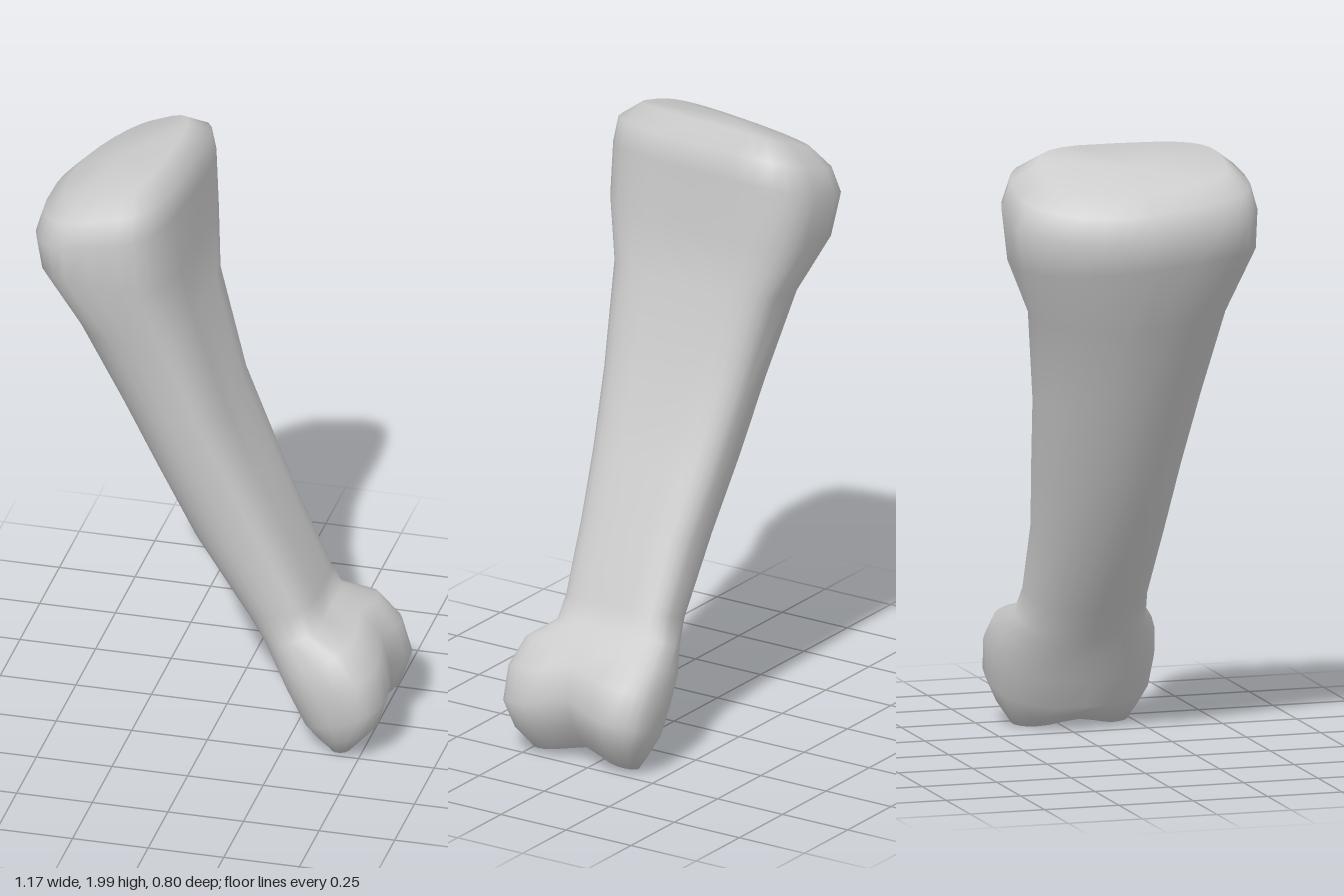
import * as THREE from 'three';
import { mergeVertices } from 'three/addons/utils/BufferGeometryUtils.js';

const SIDES = 28;

// Outline character: position of the widest point between the -x and +x edges,
// squareness of the +x side and of the -x side (front, back), and corner tilt
const END = { wide: 0.5, plus: 3.6, front: 3.2, back: 1.75, tilt: 1 };
const NECK = { wide: 0.55, plus: 3.4, front: 2.4, back: 1.9, tilt: 0.5 };
const SHAFT = { wide: 0.6, plus: 3.2, front: 2, back: 2, tilt: 0 };
const KNUCKLE = { wide: 0.63, plus: 3, front: 2.3, back: 2.3, tilt: 0 };

// Cross-sections from the wide top end to the knuckle:
// [ax, ay, bx, by, zBack, zFront, groove, style]; a = -x edge, b = +x edge
const SECTIONS = [
  [-0.36, 1.955, -0.36, 1.955, 0, 0, 0, END],
  [-0.50, 1.89, -0.18, 2.00, -0.29, 0.31, 0, END],
  [-0.56, 1.83, -0.115, 1.95, -0.37, 0.38, 0, END],
  [-0.585, 1.75, -0.105, 1.86, -0.40, 0.40, 0, END],
  [-0.565, 1.65, -0.09, 1.66, -0.375, 0.40, 0.01, END],
  [-0.46, 1.44, -0.06, 1.48, -0.29, 0.34, 0.02, NECK],
  [-0.34, 1.18, 0.04, 1.15, -0.24, 0.30, 0.01, SHAFT],
  [-0.215, 0.92, 0.14, 0.92, -0.21, 0.27, 0, SHAFT],
  [-0.09, 0.68, 0.23, 0.72, -0.18, 0.25, 0, SHAFT],
  [0.08, 0.42, 0.33, 0.50, -0.17, 0.235, 0, SHAFT],
  [0.14, 0.33, 0.36, 0.43, -0.185, 0.245, 0.01, SHAFT],
  [0.19, 0.25, 0.475, 0.40, -0.225, 0.30, 0.035, KNUCKLE],
  [0.23, 0.17, 0.555, 0.32, -0.235, 0.32, 0.045, KNUCKLE],
  [0.28, 0.075, 0.59, 0.21, -0.225, 0.315, 0.05, KNUCKLE],
  [0.32, 0.03, 0.56, 0.11, -0.19, 0.28, 0.05, KNUCKLE],
  [0.37, 0, 0.48, 0.02, -0.15, 0.24, 0.045, KNUCKLE],
  [0.42, 0.005, 0.42, 0.005, 0.045, 0.045, 0.04, KNUCKLE],
];

const power = (v, e) => Math.sign(v) * Math.abs(v) ** (2 / e);

function boneGeometry() {
  const pos = [], index = [];
  for (const [ax, ay, bx, by, z0, z1, groove, style] of SECTIONS) {
    const cx = THREE.MathUtils.lerp(ax, bx, style.wide);
    const cy = THREE.MathUtils.lerp(ay, by, style.wide);
    for (let j = 0; j < SIDES; j++) {
      const t = (j / SIDES) * Math.PI * 2;
      const c = Math.cos(t), s = Math.sin(t);
      const e = c > 0 ? style.plus : s > 0 ? style.front : style.back;
      const u = power(c, e);
      const z = (z0 + z1) / 2 + power(s, e) * (z1 - z0) / 2;
      const [ex, ey] = c > 0 ? [bx, by] : [ax, ay];
      // groove runs around the +x face and under the knuckle
      const reach = u > -0.3 || ay < 0.05 ? 1 : 0.2;
      const dent = groove * reach * Math.exp(-(((z - 0.045) / 0.09) ** 2));
      pos.push(
        cx + Math.abs(u) * (ex - cx) - dent * 0.8 - style.tilt * 0.035 * z * (1 + u),
        cy + Math.abs(u) * (ey - cy) + (ay < 0.3 ? dent * 0.7 : 0) + style.tilt * 0.05 * z * (1 - u),
        z,
      );
    }
  }
  // skin between rings; the first and last rings are single points
  const last = SECTIONS.length - 2;
  for (let i = 0; i <= last; i++) {
    for (let j = 0; j < SIDES; j++) {
      const a = i * SIDES + j, b = i * SIDES + ((j + 1) % SIDES);
      if (i > 0) index.push(a, b, b + SIDES);
      if (i < last) index.push(a, b + SIDES, a + SIDES);
    }
  }
  const geometry = new THREE.BufferGeometry();
  geometry.setAttribute('position', new THREE.Float32BufferAttribute(pos, 3));
  geometry.setIndex(index);
  const welded = mergeVertices(geometry, 1e-4);
  welded.computeVertexNormals();
  return welded;
}

export function createModel() {
  const group = new THREE.Group();
  group.name = 'bone';
  const material = new THREE.MeshStandardMaterial({ color: 0xcccccc });
  const bone = new THREE.Mesh(boneGeometry(), material);
  bone.name = 'boneShaftAndEnds';
  group.add(bone);
  return group;
}
